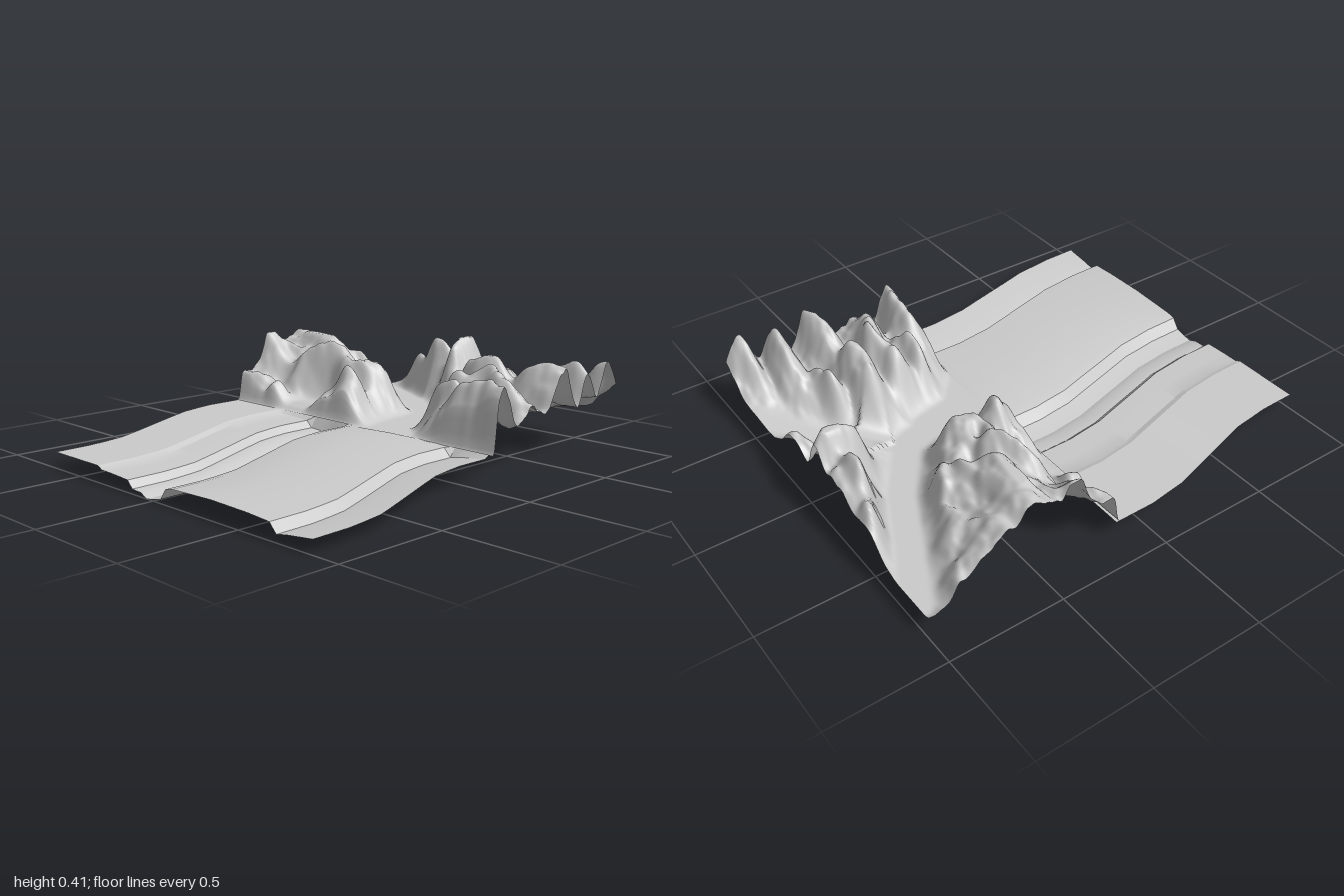
import * as THREE from 'three';
import { toCreasedNormals } from 'three/addons/utils/BufferGeometryUtils.js';

const material = new THREE.MeshStandardMaterial({ color: 0xcccccc, side: THREE.DoubleSide });
const { smoothstep, lerp } = THREE.MathUtils;

// Grid surface from a rule (column, row) -> [x, y, z]; rows run towards +z
function gridSurface(columns, rows, rule) {
  const positions = [], index = [];
  for (let j = 0; j < rows; j++)
    for (let i = 0; i < columns; i++) {
      positions.push(...rule(i, j));
      if (i && j) {
        const d = j * columns + i, c = d - 1, b = d - columns, a = b - 1;
        index.push(a, c, b, b, c, d);
      }
    }
  const geometry = new THREE.BufferGeometry();
  geometry.setAttribute('position', new THREE.Float32BufferAttribute(positions, 3));
  geometry.setIndex(index);
  geometry.computeVertexNormals();
  return geometry;
}

// Piecewise linear lookup in [key, value] pairs
function lookup(pairs, key) {
  if (key <= pairs[0][0]) return pairs[0][1];
  for (let i = 1; i < pairs.length; i++) {
    const [k0, v0] = pairs[i - 1], [k1, v1] = pairs[i];
    if (key <= k1) return lerp(v0, v1, (key - k0) / (k1 - k0));
  }
  return pairs[pairs.length - 1][1];
}

// Seeded smooth value noise, 0..1
function hash(x, z) {
  const s = Math.sin(x * 127.1 + z * 311.7) * 43758.5453;
  return s - Math.floor(s);
}
function noise(x, z) {
  const ix = Math.floor(x), iz = Math.floor(z);
  const u = smoothstep(x - ix, 0, 1), v = smoothstep(z - iz, 0, 1);
  return lerp(lerp(hash(ix, iz), hash(ix + 1, iz), u),
    lerp(hash(ix, iz + 1), hash(ix + 1, iz + 1), u), v);
}

// Valley floors: [x0, z0, x1, z1, half width, floor rise at the end, width of the sides]
const valleys = [
  [0.09, -0.1, 0.03, -0.4, 0.08, 0, 0.15],
  [0.12, -0.22, 0.25, -0.1, 0.05, 0, 0.12],
  [0.03, -0.4, -0.02, -0.56, 0.06, 0, 0.15],
  [-0.02, -0.56, -0.27, -0.74, 0.05, 0, 0.13],
  [-0.27, -0.74, -0.8, -1.0, 0.05, 0, 0.11],
  [0.0, -0.56, 0.15, -0.76, 0.01, 0.06, 0.16],
  [0.15, -0.76, 0.44, -1.02, 0.03, 0.05, 0.16],
  [-0.49, -0.12, -0.49, -0.22, 0.05, 0.03, 0.13],
];

// Ridges and peaks: [x, z, radius x, radius z, height]
const ridges = [
  [0.6, -0.2, 0.28, 0.075, 0.27], [0.32, -0.28, 0.18, 0.06, 0.2],
  [0.45, -0.42, 0.3, 0.075, 0.29], [0.3, -0.59, 0.23, 0.075, 0.31],
  [0.65, -0.61, 0.25, 0.08, 0.3], [0.62, -0.8, 0.22, 0.06, 0.26],
  [0.72, -0.94, 0.16, 0.06, 0.28], [0.3, -0.73, 0.16, 0.05, 0.25],
  [-0.9, -0.37, 0.2, 0.08, 0.31], [-0.48, -0.39, 0.22, 0.08, 0.28],
  [-0.62, -0.51, 0.24, 0.07, 0.3], [-0.26, -0.46, 0.13, 0.09, 0.24],
  [-0.22, -0.26, 0.11, 0.08, 0.2], [-0.82, -0.22, 0.2, 0.05, 0.09],
  [-0.85, -0.55, 0.26, 0.2, 0.29], [-0.45, -0.58, 0.22, 0.1, 0.15],
  [-0.1, -0.9, 0.1, 0.11, 0.32], [0.12, -0.97, 0.12, 0.06, 0.14],
  [-0.28, -0.93, 0.12, 0.09, 0.26], [-0.45, -0.95, 0.1, 0.06, 0.25],
];

function mountainHeight(x, z) {
  // Openness and floor of the nearest valley
  let open = 1, floor = 0;
  for (const [x0, z0, x1, z1, width, rise, side] of valleys) {
    const dx = x1 - x0, dz = z1 - z0;
    const t = THREE.MathUtils.clamp(((x - x0) * dx + (z - z0) * dz) / (dx * dx + dz * dz), 0, 1);
    const d = Math.hypot(x - x0 - dx * t, z - z0 - dz * t) - width;
    const m = smoothstep(d, 0, side);
    if (m < open) { open = m; floor = rise * t; }
  }
  // Rounded maximum of the ridges, bent a little by noise
  const wx = x + 0.08 * (noise(x * 6, z * 8) - 0.5), wz = z + 0.08 * (noise(x * 7 + 9, z * 5) - 0.5);
  let sum = 0;
  for (const [cx, cz, rx, rz, h] of ridges)
    sum += Math.pow(h * Math.exp(-(((wx - cx) / rx) ** 2) - ((wz - cz) / rz) ** 2), 3);
  const crag = 0.05 * (noise(x * 11, z * 24) - 0.5) + 0.02 * (noise(x * 24, z * 45) - 0.5);
  const hill = Math.max(0.02, 0.07 + 0.8 * Math.cbrt(sum) + crag);
  const wall = smoothstep(-z, 0.142, 0.172);
  return 0.1 + wall * Math.min(0.312, lerp(floor, Math.max(hill, floor), open));
}

export function createModel() {
  const model = new THREE.Group();

  // Mountains with branching valleys
  const nx = 161, nz = 111;
  const mountains = new THREE.Mesh(gridSurface(nx, nz, (i, j) => {
    const x = lerp(-0.88, 0.71, i / (nx - 1)), z = lerp(-1, -0.14, j / (nz - 1));
    return [x, mountainHeight(x, z), z];
  }), material);
  mountains.name = 'mountains';
  model.add(mountains);

  // Lowland: a terraced river profile swept forwards along a bend
  const profile = [
    [-0.88, 0.1], [-0.57, 0.1], [-0.54, 0.087], [-0.46, 0.085], [-0.365, 0.08],
    [-0.335, 0.05], [-0.28, 0.047], [-0.24, 0.03], [-0.2, 0.036], [-0.155, 0.046],
    [-0.12, 0.092], [-0.08, 0.1], [0.15, 0.108], [0.35, 0.104], [0.465, 0.097],
    [0.5, 0.06], [0.55, 0.07], [0.68, 0.085],
  ];
  const bend = [[0.03, 0], [0.2, 0.025], [0.65, 0.17], [0.83, 0.195], [1, 0.2]];
  const zs = [-0.155, -0.125, 0.03, 0.1, 0.2, 0.3, 0.4, 0.5, 0.58, 0.65, 0.74, 0.83, 1];
  const lowland = new THREE.Mesh(toCreasedNormals(gridSurface(profile.length, zs.length, (i, j) => {
    const [x, y] = profile[i], z = zs[j];
    return [x + lookup(bend, z), j ? y - 0.03 * smoothstep(z, 0.05, 0.78) : 0.1, z];
  }), 0.4), material);
  lowland.name = 'lowland';
  model.add(lowland);

  return model;
}
